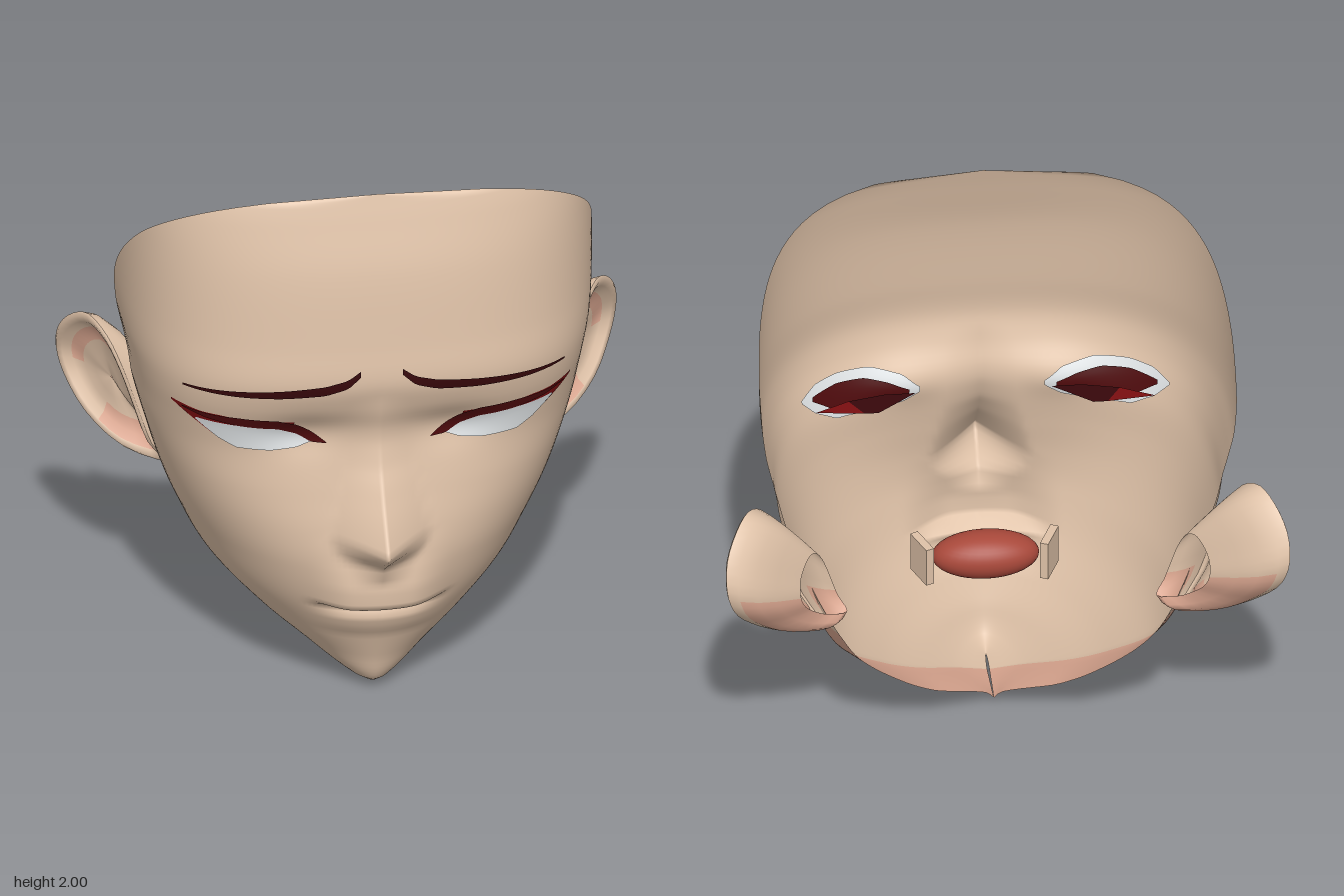
import * as THREE from 'three';

const mat = (name, color, side = THREE.DoubleSide) => {
  const m = new THREE.MeshStandardMaterial({ color, side });
  m.name = name;
  return m;
};
const skin = mat('skin', 0xdfc2a8);
const blush = mat('blush skin', 0xdfaa93);
const white = mat('eye white', 0xe6eaec);
const red = mat('liner red', 0x7a0e10);
const deepRed = mat('lash deep red', 0x4e0a0c);
const dark = mat('dark maroon', 0x36070a);
const mouthRed = mat('mouth red', 0xa8483a);

// Table lookup by first column, ascending; smooth uses cubic tangents
function lookup(table, v, smooth = false) {
  const last = table.length - 1;
  let i = 0;
  while (i < last - 1 && v > table[i + 1][0]) i++;
  const a = table[i], b = table[i + 1], h = b[0] - a[0];
  const t = THREE.MathUtils.clamp((v - a[0]) / h, 0, 1);
  const p = table[Math.max(i - 1, 0)], q = table[Math.min(i + 2, last)];
  return a.map((_, c) => {
    if (!smooth) return a[c] + (b[c] - a[c]) * t;
    const ma = (b[c] - p[c]) / (b[0] - p[0]) * h, mb = (q[c] - a[c]) / (q[0] - a[0]) * h;
    const t2 = t * t, t3 = t2 * t;
    return (2 * t3 - 3 * t2 + 1) * a[c] + (t3 - 2 * t2 + t) * ma + (3 * t2 - 2 * t3) * b[c] + (t3 - t2) * mb;
  });
}

// Surface through rows of [x, y, z] points; isBlush picks the second material
function surface(name, rows, materials, { closed = false, flip = false, isBlush = () => false } = {}) {
  const n = rows[0].length, index = [[], []];
  for (let i = 0; i < rows.length - 1; i++) {
    for (let j = 0; j < (closed ? n : n - 1); j++) {
      const k = (j + 1) % n;
      const a = i * n + j, b = i * n + k, c = (i + 1) * n + k, d = (i + 1) * n + j;
      index[isBlush(i, j) ? 1 : 0].push(...(flip ? [a, c, b, a, d, c] : [a, b, c, a, c, d]));
    }
  }
  const g = new THREE.BufferGeometry();
  g.setAttribute('position', new THREE.Float32BufferAttribute(rows.flat(2), 3));
  g.setIndex([...index[0], ...index[1]]);
  g.addGroup(0, index[0].length, 0);
  if (index[1].length) g.addGroup(index[0].length, index[1].length, 1);
  g.computeVertexNormals();
  const mesh = new THREE.Mesh(g, materials);
  mesh.name = name;
  return mesh;
}

// Head sections: y, front z, half width, z of widest point, back edge x, back edge z, squareness
const SECTIONS = [
  [0.00, 0.23, 0.004, 0.14, 0.00, -0.08, 1.8], [0.04, 0.30, 0.10, 0.10, 0.03, -0.09, 1.8],
  [0.15, 0.345, 0.27, -0.04, 0.21, -0.19, 1.8], [0.25, 0.385, 0.40, -0.14, 0.33, -0.27, 1.9],
  [0.40, 0.445, 0.55, -0.26, 0.48, -0.35, 2.0], [0.57, 0.47, 0.64, -0.31, 0.57, -0.43, 2.2],
  [0.70, 0.46, 0.69, -0.30, 0.65, -0.37, 2.4], [0.85, 0.43, 0.735, -0.30, 0.71, -0.33, 2.7],
  [1.00, 0.405, 0.775, -0.30, 0.76, -0.33, 2.9], [1.10, 0.41, 0.79, -0.30, 0.785, -0.32, 3.1],
  [1.20, 0.45, 0.81, -0.30, 0.81, -0.32, 3], [1.30, 0.478, 0.83, -0.30, 0.83, -0.32, 2.8],
  [1.44, 0.465, 0.84, -0.30, 0.84, -0.28, 2.7], [1.71, 0.43, 0.84, -0.30, 0.84, 0.00, 2.7],
  [1.90, 0.38, 0.83, -0.30, 0.83, 0.23, 2.8], [2.00, 0.35, 0.81, -0.30, 0.81, 0.35, 2.8],
];
// Nose: y, height, half width.  Lips: y, height
const NOSE = [[0.52, 0, 0.1], [0.6, 0.05, 0.12], [0.66, 0.155, 0.17], [0.7, 0.2, 0.18],
  [0.85, 0.1, 0.15], [0.95, 0.05, 0.13], [1.05, 0.025, 0.12], [1.15, 0.015, 0.12], [1.25, 0, 0.1]];
const LIPS = [[0.26, 0], [0.31, 0.012], [0.36, 0.012], [0.38, -0.005], [0.4, -0.018], [0.42, 0.052], [0.5, 0.042], [0.6, 0.015], [0.7, 0]];

function detail(x, y) {
  const ax = Math.abs(x), [, height, width] = lookup(NOSE, y);
  const nose = height * Math.max(0, 1 - ax / width) ** 1.2;
  const lips = lookup(LIPS, y)[1] * (1 - THREE.MathUtils.smoothstep(ax, 0.1, 0.28));
  const socket = 0.025 * Math.exp(-(((ax - 0.26) / 0.13) ** 2) - ((y - 1.08) / 0.08) ** 2);
  return nose + lips - socket;
}
function faceZ(x, y) {
  const [, zc, w, z0, , , n] = lookup(SECTIONS, y, true);
  return z0 + (zc - z0) * Math.max(0, 1 - (Math.abs(x) / w) ** n) ** (1 / n) + detail(x, y);
}

const FRONT = 44, TAIL = 4;
function headRow(y) {
  const [, zc, w, z0, xb, zb, n] = lookup(SECTIONS, y, true);
  const k = Math.min(1, (zb - z0) / (zc - z0));
  const end = k > 0 ? Math.atan((k ** -n - 1) ** (1 / n)) : Math.PI / 2;
  const half = [];
  for (let i = 0; i <= FRONT; i++) {
    const a = end * (i / FRONT) ** 1.25, s = Math.sin(a), c = Math.max(0, Math.cos(a));
    const r = (s ** n + c ** n) ** (-1 / n), x = w * r * s;
    half.push([x, y, z0 + (zc - z0) * r * c + detail(x, y)]);
  }
  const [xe, , ze] = half[FRONT];
  // Jaw underside, rising slightly toward the back at the chin
  for (let i = 1; i <= TAIL; i++) {
    const t = k > 0 ? 0 : i / TAIL;
    half.push([xe + (xb - xe) * t, y + 0.03 * t * Math.max(0, 1 - y / 0.15), ze + (zb - ze) * t]);
  }
  return [...half.slice(1).reverse().map(([x, py, z]) => [-x, py, z]), ...half];
}

// Thin painted shape on the face; outline rows are x, low y, high y
function patch(name, outline, offset, material, side) {
  const rows = [], x0 = outline[0][0], x1 = outline[outline.length - 1][0];
  for (let i = 0; i <= 6; i++) {
    const row = [];
    for (let j = 0; j <= 32; j++) {
      const [x, lo, hi] = lookup(outline, x0 + (x1 - x0) * j / 32);
      const y = lo + (hi - lo) * i / 6;
      row.push([side * x, y, faceZ(x, y) + offset]);
    }
    rows.push(row);
  }
  return surface(name, rows, [material], { flip: side < 0 });
}

const LINER = [[0.3, 1.07, 1.14], [0.5, 1.05, 1.155], [0.56, 1.055, 1.16], [0.62, 1.1, 1.16], [0.71, 1.165, 1.172]];
const WHITE = [[0.235, 1.052, 1.065], [0.29, 1.03, 1.1], [0.38, 1.02, 1.118], [0.5, 1.024, 1.122], [0.56, 1.056, 1.124], [0.635, 1.118, 1.126]];
const LASH = [[0.185, 1.045, 1.048], [0.24, 1.05, 1.095], [0.29, 1.085, 1.13], [0.36, 1.112, 1.155], [0.5, 1.124, 1.162], [0.6, 1.138, 1.16], [0.68, 1.158, 1.163]];
const SOCKET = [[0.22, 1.05, 1.07], [0.28, 1.01, 1.12], [0.4, 0.985, 1.155], [0.52, 0.995, 1.16], [0.6, 1.05, 1.15], [0.65, 1.11, 1.12]];
const HOLLOW = [[0.26, 1.05, 1.07], [0.33, 1.025, 1.1], [0.42, 1.015, 1.125], [0.52, 1.03, 1.13], [0.61, 1.1, 1.115]];
const BROW = [[0.075, 1.345, 1.367], [0.12, 1.302, 1.335], [0.2, 1.277, 1.314], [0.35, 1.265, 1.297], [0.5, 1.26, 1.283], [0.68, 1.257, 1.265]];
// Ledge inside the eye hollow, inner and outer parts as x, z
const LEDGES = [['innerLedge', dark, [[0.24, 0.33], [0.38, 0.22], [0.43, 0.22], [0.48, 0.3], [0.35, 0.33]]],
  ['outerLedge', red, [[0.43, 0.22], [0.6, 0.24], [0.48, 0.3]]]];

function eye(side) {
  const g = new THREE.Group();
  g.name = side > 0 ? 'leftEye' : 'rightEye';
  g.add(patch('liner', LINER, 0.004, red, side), patch('eyeWhite', WHITE, 0.008, white, side),
    patch('upperLash', LASH, 0.011, deepRed, side), patch('eyeWhiteBack', SOCKET, -0.012, white, side),
    patch('eyeHollow', HOLLOW, -0.02, deepRed, side));
  for (const [name, material, outline] of LEDGES) {
    const geo = new THREE.ShapeGeometry(new THREE.Shape(outline.map(([x, z]) => new THREE.Vector2(side * x, z))));
    const ledge = new THREE.Mesh(geo.rotateX(Math.PI / 2), material);
    ledge.position.y = 1.07;
    ledge.name = name;
    g.add(ledge);
  }
  return g;
}

// Ear: one rim loop shrunk into a dish in front and into a root behind
const RIM = [[0.64, 0.6, -0.38], [0.78, 0.63, -0.45], [0.9, 0.73, -0.54], [0.97, 0.85, -0.63], [0.995, 0.95, -0.65],
  [0.99, 1.05, -0.61], [0.95, 1.13, -0.54], [0.905, 1.16, -0.47], [0.85, 1.11, -0.39], [0.8, 1.0, -0.345],
  [0.75, 0.85, -0.33], [0.7, 0.7, -0.33]];
function ear(side) {
  const curve = new THREE.CatmullRomCurve3(RIM.map((p) => new THREE.Vector3(...p)), true);
  const loop = curve.getPoints(36).slice(0, 36);
  const centre = new THREE.Vector3(0.84, 0.89, -0.47), normal = new THREE.Vector3(0.7, 0, 0.7);
  const root = new THREE.Vector3(0.66, 0.8, -0.42).sub(centre);
  const ring = (scale, lift, toRoot = 0) => loop.map((p) => {
    const q = p.clone().sub(centre).multiplyScalar(scale).add(centre).addScaledVector(normal, lift).addScaledVector(root, toRoot);
    return [side * q.x, q.y, q.z];
  });
  const g = new THREE.Group();
  g.name = side > 0 ? 'leftEar' : 'rightEar';
  const dish = [ring(1, 0), ring(0.95, 0.012), ring(0.86, 0.005), ring(0.75, -0.02), ring(0.55, -0.03), ring(0.3, -0.025), ring(0.01, -0.03)];
  const back = [ring(1, 0), ring(0.96, -0.03, 0.08), ring(0.85, -0.045, 0.3), ring(0.7, -0.04, 0.6), ring(0.5, -0.02, 1)];
  g.add(surface('earDish', dish, [skin, blush], { closed: true, flip: side < 0,
    isBlush: (i, j) => (i === 3 && j > 10 && j < 26) || (i >= 2 && i <= 3 && (j > 34 || j < 5)) }));
  g.add(surface('earBack', back, [skin, blush], { closed: true, flip: side > 0,
    isBlush: (i, j) => i >= 1 && (j < 11 || j > 31) }));
  return g;
}

// Mouth cavity with a bracket at each corner, behind the lips
function mouth() {
  const g = new THREE.Group();
  g.name = 'mouthInterior';
  const cavity = new THREE.Mesh(new THREE.SphereGeometry(1, 32, 20), mouthRed);
  cavity.scale.set(0.19, 0.085, 0.095);
  cavity.position.set(0, 0.42, 0.25);
  cavity.name = 'mouthCavity';
  g.add(cavity);
  for (const side of [1, -1]) {
    const corner = new THREE.Mesh(new THREE.BoxGeometry(0.03, 0.15, 0.12), skin);
    corner.position.set(side * 0.225, 0.42, 0.24);
    corner.rotation.y = side * 0.4;
    corner.name = 'mouthCorner';
    g.add(corner);
  }
  return g;
}

export function createModel() {
  const model = new THREE.Group();
  model.name = 'face';
  const rows = [];
  for (let i = 0; i <= 100; i++) rows.push(headRow(i * 0.02));
  const columns = rows[0].length - 1;
  model.add(surface('faceShell', rows, [skin, blush], {
    isBlush: (i, j) => i < 29 && (j < TAIL || j >= columns - TAIL),
  }));
  for (const side of [1, -1]) {
    model.add(eye(side), ear(side), patch(side > 0 ? 'leftBrow' : 'rightBrow', BROW, 0.009, dark, side));
  }
  model.add(mouth());
  return model;
}
